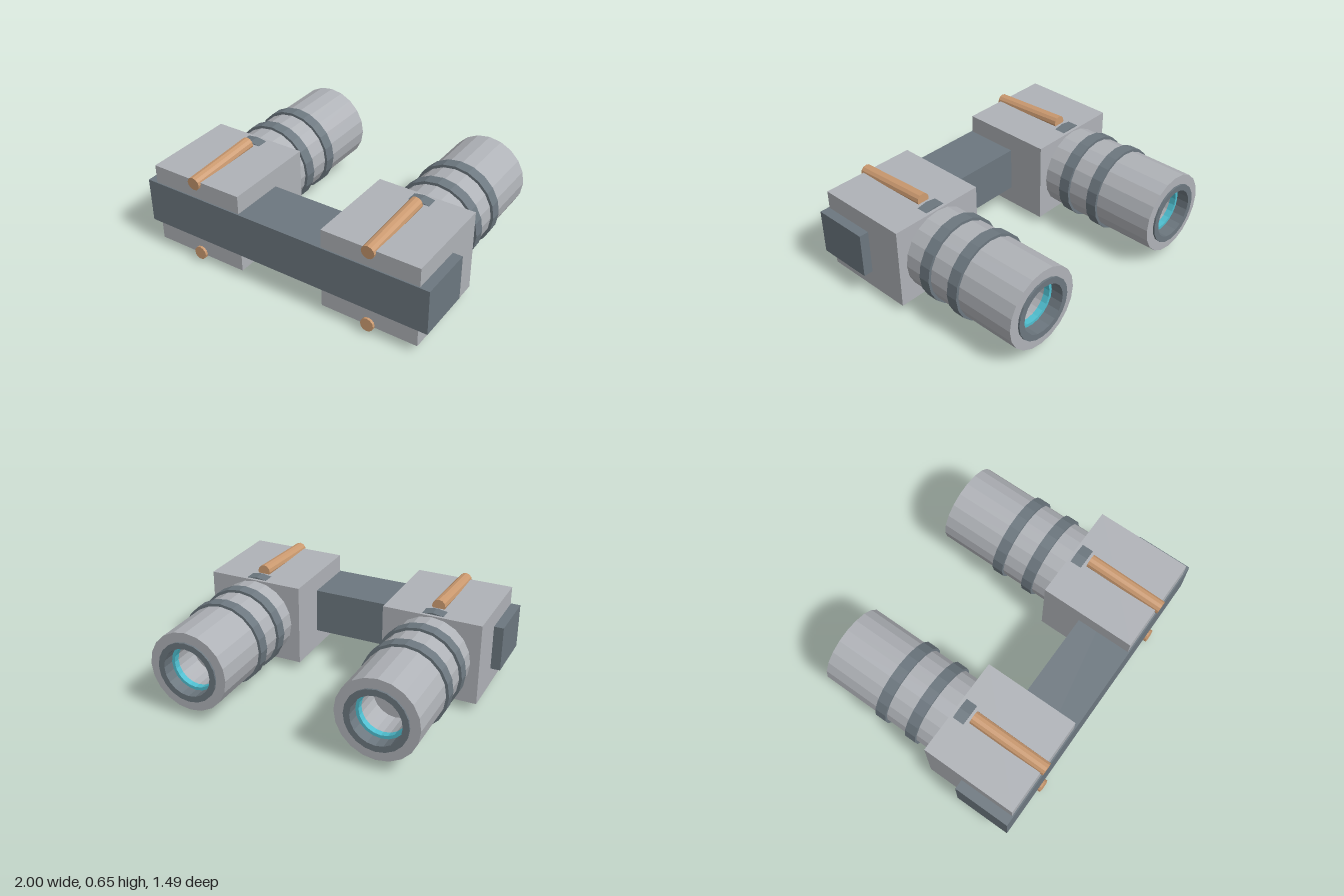
import * as THREE from 'three';

const AXIS_Y = 0.333; // height of the common centre line
const SIDES = 20;

function material(name, color) {
  const m = new THREE.MeshStandardMaterial({ color, flatShading: true });
  m.name = name;
  return m;
}

export function createModel() {
  const grey = material('light grey', 0xafb2b7);
  const slate = material('slate grey', 0x6c777f);
  const copper = material('copper', 0xca996f);
  const cyan = material('cyan glow', 0x4fbfd0);

  const model = new THREE.Group();
  model.name = 'twinEngine';

  function add(parent, name, geometry, mat, x, y, z) {
    const mesh = new THREE.Mesh(geometry, mat);
    mesh.name = name;
    mesh.position.set(x, y, z);
    parent.add(mesh);
    return mesh;
  }

  // Turned part along z; profile is a list of [radius, z], running front to back on the outside
  function turned(parent, name, profile, mat) {
    const points = profile.map(([r, z]) => new THREE.Vector2(r, -z));
    const mesh = add(parent, name, new THREE.LatheGeometry(points, SIDES), mat, 0, 0, 0);
    mesh.rotation.x = -Math.PI / 2;
    return mesh;
  }

  // Cross bar joining both engines
  add(model, 'crossBar', new THREE.BoxGeometry(2, 0.298, 0.372), slate, 0, AXIS_Y, 0.548);

  for (const side of [1, -1]) {
    const engine = new THREE.Group();
    engine.name = side > 0 ? 'leftEngine' : 'rightEngine';
    engine.position.set(side * 0.616, AXIS_Y, 0);
    model.add(engine);

    // Housing block
    add(engine, 'housing', new THREE.BoxGeometry(0.642, 0.54, 0.626), grey, 0, 0, 0.412);

    // Barrel with its rear rim
    turned(engine, 'barrel', [[0.263, 0.11], [0.263, -0.73], [0.19, -0.73]], grey);

    // Clamp rings, the first one mostly sunk into the housing
    for (const z of [0.157, -0.068, -0.295]) {
      const h = 0.038;
      turned(engine, 'clampRing',
        [[0.25, z + h], [0.281, z + h], [0.281, z - h], [0.25, z - h]], slate);
    }

    // Nozzle lip, glowing ring and inner bore
    turned(engine, 'nozzleLip', [[0.2, -0.72], [0.2, -0.742], [0.16, -0.742], [0.16, -0.66]], slate);
    turned(engine, 'glowRing', [[0.16, -0.66], [0.14, -0.66], [0.14, -0.62]], cyan);
    turned(engine, 'bore', [[0.14, -0.62], [0.14, -0.45], [0, -0.45]], grey);

    // Slightly tilted rods above and below the housing
    for (const up of [1, -1]) {
      const rod = add(engine, up > 0 ? 'upperRod' : 'lowerRod',
        new THREE.CylinderGeometry(0.0435, 0.0435, 0.524, 12), copper, 0, up * 0.27, 0.482);
      rod.rotation.x = Math.PI / 2 + up * 0.052;
    }
  }
  return model;
}
